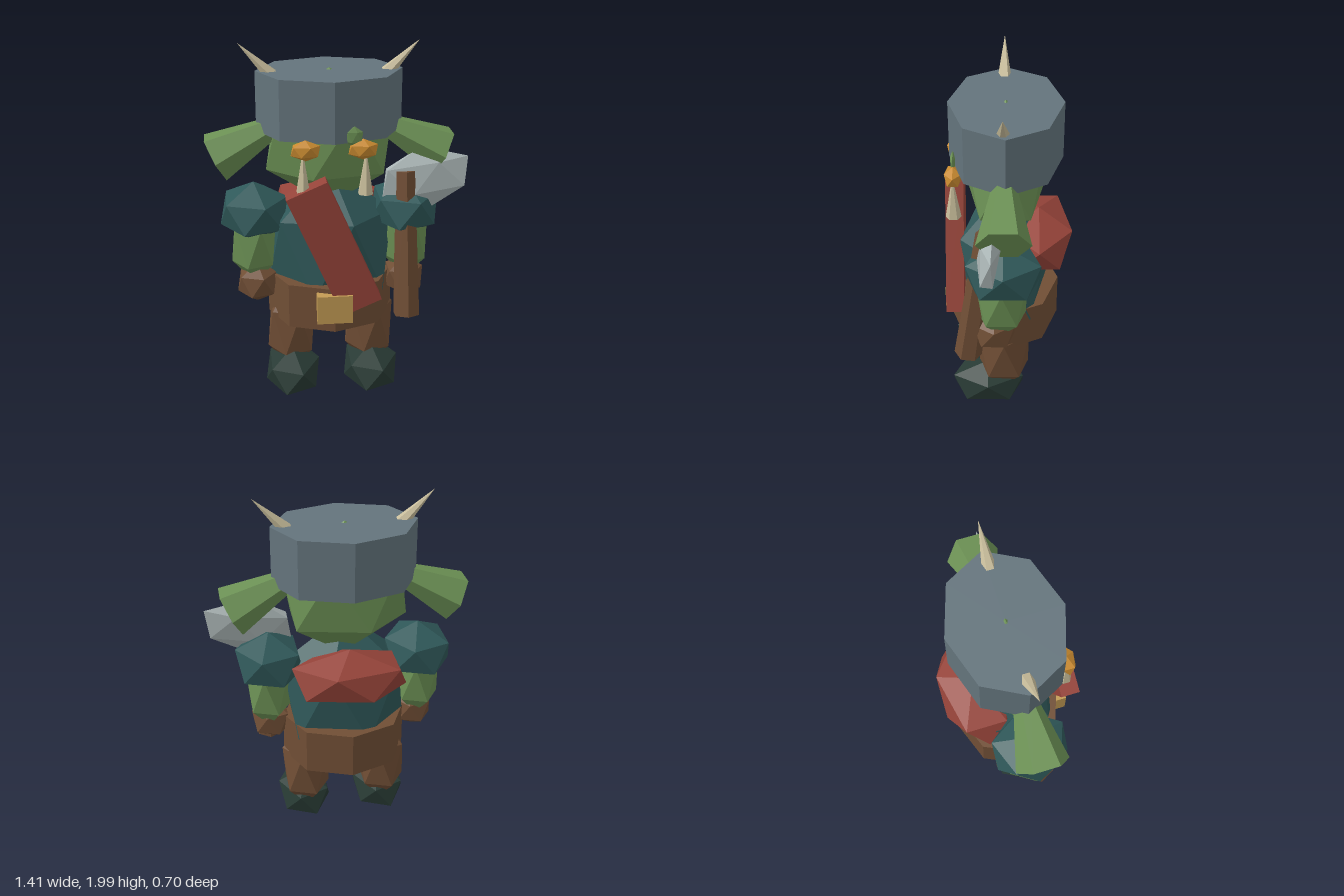
import * as THREE from 'three';

const CX = -0.047; // the body's mirror line

export function createModel() {
  const root = new THREE.Group();
  const mat = (name, color) => {
    const m = new THREE.MeshStandardMaterial({ color, flatShading: true });
    m.name = name;
    return m;
  };
  const steel = mat('helmet steel', 0x64747c);
  const skin = mat('green skin', 0x6b9054);
  const cloth = mat('teal cloth', 0x2f5859);
  const leather = mat('brown leather', 0x704e35);
  const boot = mat('dark boot', 0x283a34);
  const red = mat('red cloth', 0x954339);
  const brass = mat('brass', 0xc39b54);
  const amber = mat('amber', 0xc98a30);
  const ivory = mat('ivory', 0xc8bd9b);
  const blade = mat('pale blade', 0xa9b4b4);

  // Twenty-sided ball standing on a corner, one upper-ring corner towards +x
  const ball = new THREE.IcosahedronGeometry(1, 0);
  ball.rotateX(-Math.atan2((1 + Math.sqrt(5)) / 2, 1)).rotateY(Math.PI / 2);

  const add = (name, geo, material, x, y, z) => {
    const m = new THREE.Mesh(geo, material);
    m.name = name;
    m.position.set(x, y, z);
    root.add(m);
    return m;
  };
  const blob = (name, material, x, y, z, rx, ry, rz) =>
    add(name, ball.clone().scale(rx, ry, rz), material, x, y, z);
  // Tapered prism from point a (radius ra) to point b (radius rb)
  const taper = (name, material, a, b, ra, rb, sides) => {
    const A = new THREE.Vector3(...a), B = new THREE.Vector3(...b);
    const dir = B.clone().sub(A), mid = A.clone().add(B).multiplyScalar(0.5);
    const m = add(name, new THREE.CylinderGeometry(rb, ra, dir.length(), sides), material, mid.x, mid.y, mid.z);
    m.quaternion.setFromUnitVectors(new THREE.Vector3(0, 1, 0), dir.normalize());
    return m;
  };
  const drum = (name, material, rx, rz, y0, y1, z) =>
    add(name, new THREE.CylinderGeometry(1, 1, y1 - y0, 8).scale(rx, 1, rz), material, CX, (y0 + y1) / 2, z);

  // Trunk and head
  blob('torso', cloth, CX, 0.85, 0.02, 0.385, 0.47, 0.28);
  drum('belt', leather, 0.345, 0.305, 0.475, 0.725, 0.02);
  blob('head', skin, CX, 1.48, 0.01, 0.383, 0.38, 0.25);
  drum('helmet', steel, 0.388, 0.3, 1.53, 1.85, 0.008);
  blob('backRoll', red, CX, 1.045, -0.17, 0.35, 0.16, 0.212);

  // Paired parts
  for (const [s, side] of [[-1, 'right'], [1, 'left']]) {
    const X = (d) => CX + s * d;
    blob(side + 'Boot', boot, X(0.222), 0.145, 0.11, 0.168, 0.135, 0.235);
    blob(side + 'Leg', leather, X(0.221), 0.375, 0.02, 0.15, 0.28, 0.165);
    blob(side + 'Shoulder', cloth, X(0.413), 1.083, 0.02, 0.205, 0.165, 0.23);
    blob(side + 'Arm', skin, X(0.42), 0.905, 0.03, 0.137, 0.25, 0.155);
    blob(side + 'Hand', leather, X(0.408), 0.682, 0.07, 0.121, 0.118, 0.13);
    blob(side + 'Eye', amber, X(0.148), 1.495, 0.282, 0.085, 0.056, 0.053);
    taper(side + 'Ear', skin, [X(0.285), 1.555, 0.015], [X(0.608), 1.39, 0.015], 0.055, 0.14, 6);
    taper(side + 'Tusk', ivory, [X(0.162), 1.255, 0.285], [X(0.162), 1.5, 0.285], 0.042, 0, 6);
    taper(side + 'Horn', ivory, [X(0.262), 1.788, 0.02], [X(0.474), 2, 0.02], 0.046, 0, 6);
  }

  // Small nose tip
  blob('noseTip', skin, 0.055, 1.56, 0.283, 0.05, 0.058, 0.016);

  // Sash and buckle
  const sash = add('sash', new THREE.BoxGeometry(0.23, 0.735, 0.1), red, -0.05, 0.958, 0.29);
  sash.rotation.z = 0.41;
  add('buckle', new THREE.BoxGeometry(0.19, 0.16, 0.06), brass, -0.05, 0.62, 0.323);

  // Axe
  taper('axeHandle', leather, [0.36, 0.51, 0.215], [0.352, 1.31, 0.105], 0.076, 0.056, 6);
  const head = blob('axeHead', blade, 0.465, 1.265, 0.092, 0.277, 0.17, 0.06);
  head.rotation.set(-0.14, 0, 0.14);

  return root;
}
